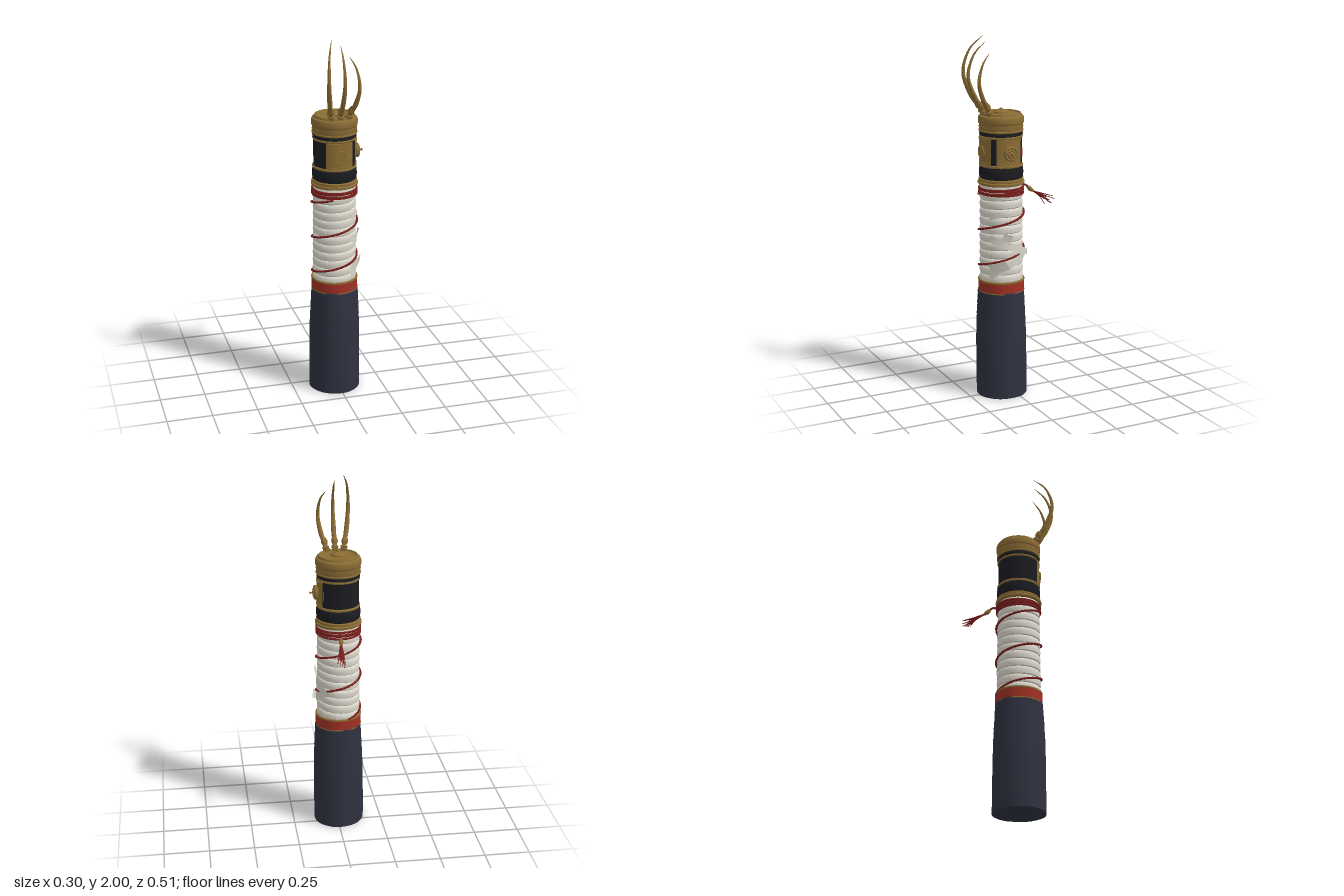
import * as THREE from 'three';
import { toCreasedNormals } from 'three/addons/utils/BufferGeometryUtils.js';

const material = (color) => new THREE.MeshStandardMaterial({ color, side: THREE.DoubleSide });
const gold = material(0x8a6c34), dark = material(0x1b1c21), navy = material(0x2f3240);
const red = material(0xa03024), cordRed = material(0x7a1f1c), cloth = material(0xd9d5ca);
const V = (x, y, z) => new THREE.Vector3(x, y, z);

export function createModel() {
  const model = new THREE.Group();
  model.name = 'ceremonialHandle';
  // Everything round shares this off-centre axis
  const staff = new THREE.Group();
  staff.name = 'staff';
  staff.position.set(-0.01, 0, 0.053);
  model.add(staff);

  const add = (name, geo, mat, parent = staff) => {
    const m = new THREE.Mesh(geo, mat);
    m.name = name;
    parent.add(m);
    return m;
  };
  const turned = (name, pts, mat, start = 0, span = Math.PI * 2, parent = staff) => {
    const geo = new THREE.LatheGeometry(pts.map(([r, y]) => new THREE.Vector2(r, y)), 56, start, span);
    return add(name, toCreasedNormals(geo, 0.6), mat, parent);
  };
  // Bevelled ring between two heights
  const ring = (name, y0, y1, r, mat, b = 0.004) =>
    turned(name, [[r - 0.02, y0], [r - b, y0], [r, y0 + b], [r, y1 - b], [r - b, y1], [r - 0.02, y1]], mat);
  // Tube whose radius follows a rule
  const taper = (name, pts, radius, mat, parent = model, steps = 28, sides = 10) => {
    const curve = new THREE.CatmullRomCurve3(pts);
    const geo = new THREE.TubeGeometry(curve, steps, 1, sides);
    const p = geo.attributes.position, v = V(0, 0, 0);
    for (let i = 0; i < p.count; i++) {
      const t = Math.floor(i / (sides + 1)) / steps, c = curve.getPointAt(t);
      v.fromBufferAttribute(p, i).sub(c).multiplyScalar(radius(t)).add(c);
      p.setXYZ(i, v.x, v.y, v.z);
    }
    geo.computeVertexNormals();
    return add(name, geo, mat, parent);
  };
  const around = (a, r, y) => V(Math.sin(a) * r, y, Math.cos(a) * r);

  // Lower cloth sleeve, slightly uneven, with shallow folds near the top
  const sleevePts = [[0, 0], [0.141, 0], [0.141, 0.12], [0.14, 0.28], [0.138, 0.4]];
  for (let i = 0; i <= 12; i++) {
    sleevePts.push([0.136 - i * 0.0008 + (i % 2) * 0.0015, 0.42 + i * 0.0155]);
  }
  const sleeve = turned('lowerSleeve', sleevePts, navy);
  const sp = sleeve.geometry.attributes.position;
  for (let i = 0; i < sp.count; i++) {
    const a = Math.atan2(sp.getX(i), sp.getZ(i)), y = sp.getY(i);
    const k = 1 + 0.012 * Math.sin(3 * a + y * 5) + 0.008 * Math.sin(7 * a - y * 4);
    sp.setXYZ(i, sp.getX(i) * k, y, sp.getZ(i) * k);
  }
  sleeve.geometry = toCreasedNormals(sleeve.geometry, 0.7);

  // Red band with thin gold edges
  ring('redBand', 0.6, 0.665, 0.127, red);
  ring('bandLowerEdge', 0.598, 0.606, 0.128, gold, 0.002);
  ring('bandUpperEdge', 0.657, 0.668, 0.128, gold, 0.002);

  // White grip of overlapping wraps, gently tilted
  const wrapPts = [];
  for (let i = 0; i < 12; i++) {
    const y = 0.655 + i * 0.046;
    for (const [dr, dy] of [[-0.005, 0], [0.001, 0.005], [0.003, 0.02], [0.002, 0.038], [-0.003, 0.045]]) {
      wrapPts.push([0.117 - i * 0.0003 + dr, y + dy]);
    }
  }
  const grip = turned('whiteGrip', wrapPts, cloth);
  const gp = grip.geometry.attributes.position;
  for (let i = 0; i < gp.count; i++) gp.setY(i, gp.getY(i) + 0.06 * gp.getX(i));

  // Loose bandage strips: bent planes [angle, height, length, width, tilt, lift]
  const strips = [
    [1.5, 0.87, 0.24, 0.04, -0.38, 0.008], [1.55, 0.765, 0.27, 0.04, 0.5, 0.012],
    [1.0, 0.75, 0.1, 0.05, 0.45, 0.022], [1.35, 0.9, 0.08, 0.05, 1.3, 0.014],
    [2.0, 0.82, 0.12, 0.035, 0.1, 0.022], [0.85, 1.04, 0.07, 0.03, 0.25, 0.003],
  ];
  for (const [a0, y0, len, w, tilt, lift] of strips) {
    const geo = new THREE.PlaneGeometry(len, w, 14, 1), p = geo.attributes.position;
    const c = Math.cos(tilt), s = Math.sin(tilt);
    for (let i = 0; i < p.count; i++) {
      const x = p.getX(i), y = p.getY(i);
      const v = around(a0 + (x * c - y * s) / 0.12, 0.1215 + lift * (x / len + 0.5) ** 2, y0 + x * s + y * c);
      p.setXYZ(i, v.x, v.y, v.z);
    }
    geo.computeVertexNormals();
    add('bandageStrip', geo, cloth);
  }

  // Red cord: long spiral, then coils under the collar
  const spiral = [];
  for (let i = 0; i <= 80; i++) {
    const turn = -0.45 + (i / 80) * 2.4;
    spiral.push(around(turn * Math.PI * 2, 0.1235, 0.755 + 0.2 * turn));
  }
  taper('spiralCord', spiral, (t) => 0.006 + 0.0008 * Math.sin(t * 500), cordRed, staff, 240, 6);
  for (let i = 0; i < 4; i++) {
    const coil = add('cordCoil', new THREE.TorusGeometry(0.12, 0.0058, 6, 48), cordRed);
    coil.rotation.x = Math.PI / 2 + (i % 2 ? 0.02 : -0.02);
    coil.position.y = 1.15 + i * 0.0105;
  }

  // Tassel at the back
  const tassel = new THREE.Group();
  tassel.name = 'tassel';
  model.add(tassel);
  taper('tasselCord', [V(-0.004, 1.178, -0.068), V(-0.004, 1.178, -0.09), V(-0.003, 1.16, -0.112)], () => 0.006, cordRed, tassel, 10, 6);
  taper('tasselBead', [V(-0.004, 1.167, -0.104), V(-0.002, 1.152, -0.12), V(0, 1.138, -0.137)],
    (t) => 0.007 + 0.005 * Math.sin(t * Math.PI), gold, tassel, 10, 10);
  for (let i = 0; i < 14; i++) {
    const u = i / 13, w = (i * 5 % 14) / 13;
    const end = V(-0.012 + 0.045 * u, 1.055 + 0.05 * w, -0.215 - 0.04 * ((i * 3) % 5) / 4);
    taper('tasselStrand', [V(0.006 * (u - 0.5), 1.14, -0.134),
      V(0.001 + 0.024 * (u - 0.4), 1.105 + 0.02 * w, -0.18), end],
    (t) => 0.0032 * (1 - 0.45 * t), cordRed, tassel, 8, 5);
  }

  // Upper housing: dark core with gold rings
  ring('collar', 1.2, 1.218, 0.127, gold);
  ring('collarStep', 1.216, 1.234, 0.122, gold);
  turned('lowerPad', [[0.108, 1.23], [0.118, 1.238], [0.121, 1.26], [0.12, 1.285], [0.114, 1.304]], dark);
  ring('lowerRing', 1.298, 1.314, 0.119, gold);
  turned('housingCore', [[0.113, 1.3], [0.113, 1.47]], dark);
  ring('upperRing', 1.455, 1.468, 0.118, gold);
  turned('upperPad', [[0.11, 1.465], [0.117, 1.47], [0.118, 1.48], [0.113, 1.495]], dark);

  // Curved plates on the front and on the left, each with a medallion
  const makePlate = (name, angle) => {
    const g = new THREE.Group();
    g.name = name;
    g.rotation.y = angle;
    staff.add(g);
    const arc = (part, y0, y1, r, h, c = 0) =>
      turned(part, [[0.108, y0], [r, y0], [r, y1], [0.108, y1]], gold, c - h, h * 2, g);
    arc('plate', 1.316, 1.454, 0.117, 0.62);
    arc('plateLowerLip', 1.314, 1.324, 0.12, 0.64);
    arc('plateUpperLip', 1.445, 1.455, 0.12, 0.64);
    for (const s of [-1, 1]) arc('plateSideLip', 1.316, 1.454, 0.12, 0.03, s * 0.62);
    const rim = add('medallionRim', new THREE.TorusGeometry(0.033, 0.004, 8, 32), gold, g);
    rim.position.set(0, 1.38, 0.119);
    const disc = add('medallionDisc', new THREE.CylinderGeometry(0.032, 0.034, 0.012, 32), gold, g);
    disc.rotation.x = Math.PI / 2;
    disc.position.set(0, 1.38, 0.114);
    return g;
  };
  makePlate('frontPlate', 0);
  const side = makePlate('sidePlate', Math.PI / 2);
  // Raised flower and pin on the side medallion
  const boss = turned('medallionBoss', [[0.04, 0], [0.04, 0.014], [0.034, 0.02], [0.027, 0.016], [0.022, 0.02], [0.01, 0.021],
    [0.007, 0.026], [0.004, 0.028], [0.004, 0.036], [0.007, 0.038], [0.007, 0.042], [0, 0.044]], gold, 0, Math.PI * 2, side);
  boss.rotation.x = Math.PI / 2;
  boss.position.set(0, 1.38, 0.114);
  for (let i = 0; i < 8; i++) {
    const petal = add('medallionPetal', new THREE.SphereGeometry(0.006, 8, 6), gold, side);
    const a = i * Math.PI / 4;
    petal.position.set(0.02 * Math.cos(a), 1.38 + 0.02 * Math.sin(a), 0.134);
  }
  const clasp = add('redClasp', new THREE.BoxGeometry(0.008, 0.05, 0.006), red, side);
  clasp.position.set(0.08, 1.38, 0.09);

  // Gold cap with shoulder, recessed top and central dome
  turned('cap', [[0.1, 1.49], [0.117, 1.49], [0.119, 1.496], [0.119, 1.53], [0.123, 1.535], [0.124, 1.54],
    [0.124, 1.562], [0.12, 1.572], [0.11, 1.578], [0.107, 1.588], [0.103, 1.59], [0.099, 1.588], [0.096, 1.582],
    [0.045, 1.585], [0.041, 1.585], [0.04, 1.592], [0.033, 1.599], [0.018, 1.603], [0.01, 1.604], [0.008, 1.61], [0, 1.613]], gold);
  ring('capLowerLip', 1.488, 1.499, 0.122, gold, 0.003);
  for (let i = 0; i < 20; i++) {
    const a = (i + 0.5) * Math.PI / 10;
    const rivet = (r, y) => add('capRivet', new THREE.SphereGeometry(0.0035, 6, 5), gold).position.copy(around(a, r, y));
    rivet(0.119, 1.515);
    if (i % 2) rivet(0.116, 1.575);
  }

  // Three curved claws in sockets: [base x, z, widest x, z, tip x, y, z]
  const claws = [
    [-0.052, 0.142, -0.089, 0.238, -0.05, 2.0, 0.137],
    [-0.006, 0.15, -0.006, 0.246, -0.003, 1.97, 0.148],
    [0.042, 0.142, 0.079, 0.222, 0.045, 1.912, 0.146],
  ];
  for (const [bx, bz, wx, wz, tx, ty, tz] of claws) {
    const g = new THREE.Group();
    g.name = 'claw';
    model.add(g);
    const h = ty - 1.6, mix = (a, b, t) => a + (b - a) * t;
    taper('clawBlade', [V(mix(bx, wx, 0.2), 1.618, mix(bz, wz, 0.2)), V(mix(bx, wx, 0.68), 1.6 + h * 0.24, mix(bz, wz, 0.66)),
      V(wx, 1.6 + h * 0.52, wz), V(mix(wx, tx, 0.3), 1.6 + h * 0.82, mix(wz, tz, 0.34)), V(tx, ty, tz)],
    (t) => 0.0004 + 0.0155 * Math.pow(1 - t, 0.75) * (0.65 + 0.35 * Math.sin(Math.min(1, t * 4) * Math.PI / 2)), gold, g, 32, 8);
    // Socket, collar and hinge block
    const foot = V(bx, 1.585, bz), dir = V((wx - bx) * 0.4, 0.075, 0.035).normalize();
    const socket = turned('clawSocket', [[0, -0.012], [0.012, -0.01], [0.013, 0.008], [0.018, 0.012], [0.019, 0.02],
      [0.013, 0.026], [0.013, 0.034], [0.017, 0.04], [0.018, 0.052], [0.012, 0.07]], gold, 0, Math.PI * 2, g);
    socket.position.copy(foot);
    socket.quaternion.setFromUnitVectors(V(0, 1, 0), dir);
    const hinge = add('clawHinge', new THREE.BoxGeometry(0.026, 0.022, 0.03), gold, g);
    hinge.position.set(bx * 0.97, 1.588, bz - 0.002);
    hinge.rotation.y = Math.atan2(wx - bx, wz - bz);
  }
  return model;
}
